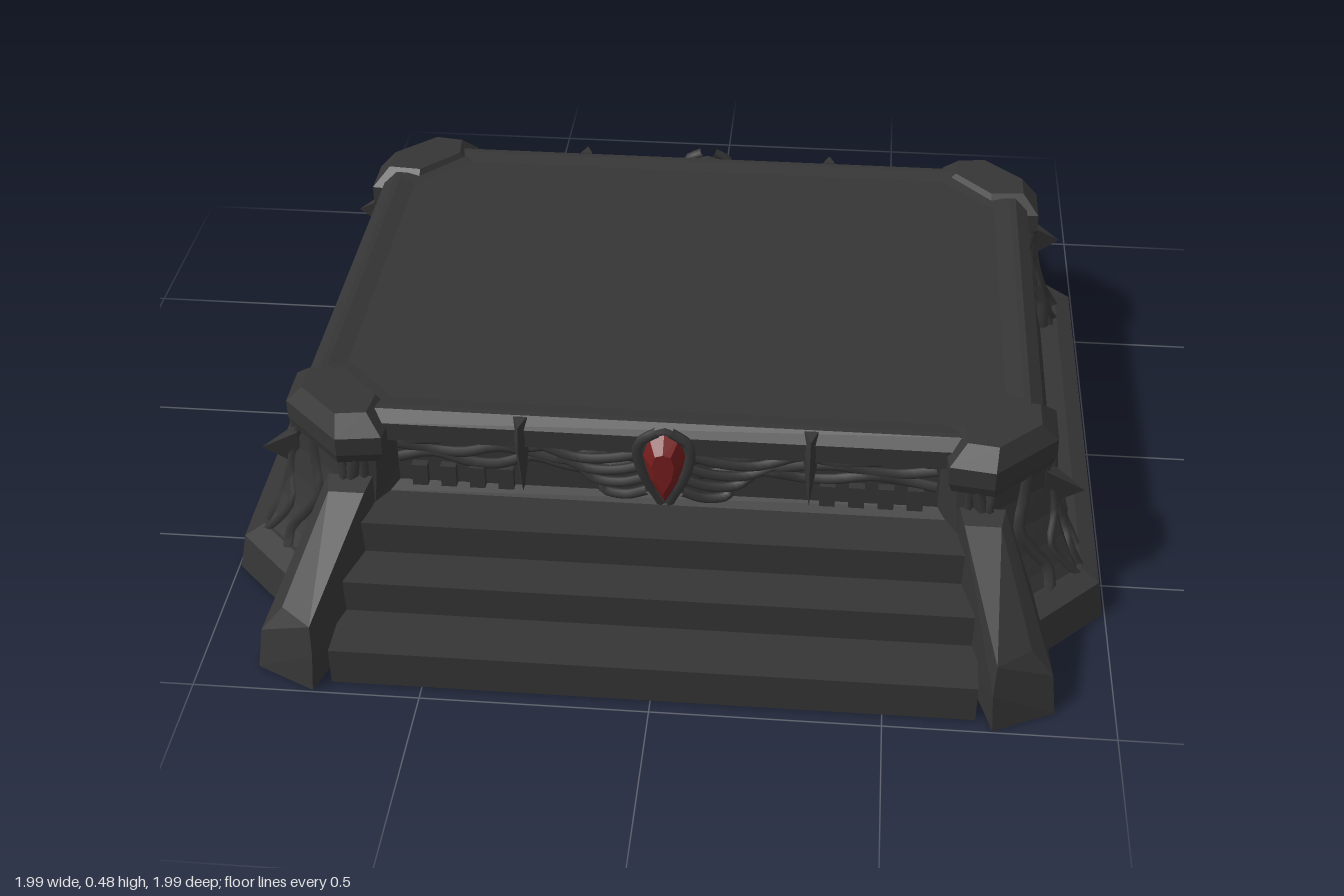
import * as THREE from 'three';
import { ConvexGeometry } from 'three/addons/geometries/ConvexGeometry.js';

const stone = new THREE.MeshStandardMaterial({ color: 0x353535 });
stone.name = 'dark stone';
const red = new THREE.MeshStandardMaterial({ color: 0x741c1c });
red.name = 'red gem';

const V = (x, y, z) => new THREE.Vector3(x, y, z);

function add(parent, name, geometry, material = stone) {
  const mesh = new THREE.Mesh(geometry, material);
  mesh.name = name;
  parent.add(mesh);
  return mesh;
}

// Skin stacked rings {y, pts: [[x, z], ...]} from bottom to top, with flat facets and closed ends
function loft(rings) {
  const pos = [];
  const p = rings[0].pts;
  const area = p.reduce((s, a, i) => {
    const b = p[(i + 1) % p.length];
    return s + a[0] * b[1] - b[0] * a[1];
  }, 0);
  const R = rings.map(r => {
    const list = r.pts.map(([x, z]) => [x, r.y, z]);
    return area < 0 ? list.reverse() : list;
  });
  const n = p.length;
  for (let i = 0; i < R.length - 1; i++) {
    for (let j = 0; j < n; j++) {
      const k = (j + 1) % n;
      const a = R[i][j], b = R[i][k], c = R[i + 1][k], d = R[i + 1][j];
      pos.push(...a, ...d, ...b, ...b, ...d, ...c);
    }
  }
  const bottom = R[0], top = R[R.length - 1];
  for (let j = 1; j < n - 1; j++) {
    pos.push(...top[0], ...top[j + 1], ...top[j]);
    pos.push(...bottom[0], ...bottom[j], ...bottom[j + 1]);
  }
  const g = new THREE.BufferGeometry();
  g.setAttribute('position', new THREE.Float32BufferAttribute(pos, 3));
  g.computeVertexNormals();
  return g;
}

// Rectangle with cut corners
const octagon = (x, z, c) => [
  [x, -z + c], [x, z - c], [x - c, z], [-x + c, z],
  [-x, z - c], [-x, -z + c], [-x + c, -z], [x - c, -z]];
const octStack = rows => loft(rows.map(([y, x, z, c]) => ({ y, pts: octagon(x, z, c) })));

const tube = (pts, r, seg = 12) =>
  new THREE.TubeGeometry(new THREE.CatmullRomCurve3(pts), seg, r, 5, false);

// Concave corner column outlines at the foot and under the cap
const foot = [[0.62, 0.60], [0.68, 0.69], [0.80, 0.70], [0.94, 0.57], [0.94, 0.43], [0.76, 0.40]];
const neck = [[0.60, 0.56], [0.64, 0.63], [0.71, 0.64], [0.85, 0.52], [0.85, 0.42], [0.74, 0.40]];
const capOutline = [[0.61, 0.55], [0.62, 0.65], [0.72, 0.665], [0.86, 0.53], [0.86, 0.42], [0.74, 0.41]];
const heights = [0.08, 0.13, 0.18, 0.24, 0.31, 0.39];

function columnRing(y) {
  const k = Math.pow(1 - (y - 0.08) / 0.31, 2);
  return neck.map(([x, z], i) => [x + (foot[i][0] - x) * k, z + (foot[i][1] - z) * k]);
}

function corner(sx, sz) {
  const g = new THREE.Group();
  g.name = 'corner';
  const flip = pts => pts.map(([x, z]) => [x * sx, z * sz]);
  add(g, 'cornerColumn', loft(heights.map(y => ({ y, pts: flip(columnRing(y)) }))));

  // Bevelled cap
  const inset = f => capOutline.map(([x, z]) => [0.735 + (x - 0.735) * f, 0.54 + (z - 0.54) * f]);
  add(g, 'cornerCap', loft([[0.365, 0.92], [0.39, 1], [0.435, 1], [0.477, 0.68]]
    .map(([y, f]) => ({ y, pts: flip(inset(f)) }))));

  // Carved ribs running up the column
  for (let i = 0; i < 8; i++) {
    const s = 1.3 + i * 0.4, e = Math.floor(s), f = s - e;
    const pts = heights.map((y, n) => {
      const r = columnRing(y);
      const w = f + 0.12 * Math.sin(n * 1.7 + i * 2);
      const x = r[e][0] + (r[e + 1][0] - r[e][0]) * w;
      const z = r[e][1] + (r[e + 1][1] - r[e][1]) * w;
      return V(x * sx, y, z * sz);
    });
    add(g, 'columnRib', tube(pts, 0.011 + 0.004 * (i % 2)));
  }

  // Sloping cheek wall beside the steps
  const cheek = [
    [0.87, 0, 0.93], [0.735, 0, 0.995], [0.86, 0.09, 0.91], [0.73, 0.09, 0.985],
    [0.81, 0.15, 0.90], [0.735, 0.155, 0.965], [0.86, 0, 0.64], [0.65, 0, 0.64],
    [0.66, 0, 0.74], [0.75, 0.32, 0.64], [0.65, 0.32, 0.64], [0.66, 0.31, 0.69], [0.74, 0.31, 0.69],
  ].map(([x, y, z]) => V(x * sx, y, z * sz));
  add(g, 'stairCheek', new ConvexGeometry(cheek));

  // Small thorn beside the cap
  add(g, 'columnThorn', new ConvexGeometry([
    [0.84, 0.36, 0.50], [0.84, 0.36, 0.55], [0.93, 0.30, 0.53], [0.84, 0.24, 0.52],
  ].map(([x, y, z]) => V(x * sx, y, z * sz))));
  return g;
}

// Carved band facing +z: dentils below, twining strands above
function frieze(half, z, gap) {
  const g = new THREE.Group();
  g.name = 'frieze';
  for (let x = gap; x <= half; x += 0.065) {
    for (const s of [-1, 1]) {
      add(g, 'dentil', new THREE.BoxGeometry(0.035, 0.055, 0.03)).position.set(s * x, 0.29, z);
    }
  }
  for (let k = 0; k < 3; k++) {
    const pts = [];
    for (let i = 0; i <= 16; i++) {
      const x = -half + (2 * half * i) / 16;
      pts.push(V(x, 0.335 + k * 0.025 + 0.012 * Math.sin(i * 1.9 + k * 2.1), z + 0.006 * Math.cos(i * 2.3 + k)));
    }
    add(g, 'carvedStrand', tube(pts, 0.013, 48));
  }
  return g;
}

// Steps, frieze, pins and jewel for one stair side, facing +z
function stairSide() {
  const g = new THREE.Group();
  g.name = 'stairSide';
  [[0.70, 0.09, 0.965], [0.69, 0.17, 0.83], [0.67, 0.25, 0.72]].forEach(([hw, h, z]) => {
    add(g, 'step', new THREE.BoxGeometry(hw * 2, h, z - 0.5)).position.set(0, h / 2, (z + 0.5) / 2);
  });
  g.add(frieze(0.60, 0.575, 0.36));

  for (const s of [-1, 1]) {
    // Pin with a pointed foot
    add(g, 'pin', new ConvexGeometry([
      V(s * 0.305, 0.468, 0.59), V(s * 0.335, 0.468, 0.59), V(s * 0.32, 0.465, 0.63),
      V(s * 0.30, 0.42, 0.59), V(s * 0.34, 0.42, 0.59), V(s * 0.32, 0.41, 0.64),
      V(s * 0.32, 0.26, 0.56), V(s * 0.32, 0.27, 0.60)]));
    // Feathered strands sweeping from the jewel
    for (let k = 0; k < 4; k++) {
      add(g, 'sweptFeather', tube([
        V(s * 0.04, 0.40 - k * 0.035, 0.605), V(s * (0.12 - k * 0.01), 0.375 - k * 0.033, 0.60),
        V(s * (0.20 - k * 0.02), 0.365 - k * 0.028, 0.59), V(s * (0.29 - k * 0.05), 0.39 - k * 0.03, 0.58)], 0.012));
    }
    // Curved claw framing the jewel
    add(g, 'jewelClaw', tube([
      V(s * 0.015, 0.467, 0.62), V(s * 0.055, 0.44, 0.625), V(s * 0.052, 0.37, 0.62), V(s * 0.008, 0.26, 0.60)], 0.012));
  }

  const outline = [[0, 0.46], [0.035, 0.45], [0.05, 0.40], [0.035, 0.33], [0, 0.265],
    [-0.035, 0.33], [-0.05, 0.40], [-0.035, 0.45]];
  const jewel = outline.map(([x, y]) => V(x, y, 0.61));
  jewel.push(...outline.map(([x, y]) => V(x * 0.5, 0.385 + (y - 0.385) * 0.55, 0.65)));
  add(g, 'jewel', new ConvexGeometry(jewel), red);
  add(g, 'jewelMount', new ConvexGeometry(
    outline.flatMap(([x, y]) => [V(x * 1.35, y, 0.55), V(x * 1.1, y, 0.615)])));
  return g;
}

export function createModel() {
  const model = new THREE.Group();
  model.name = 'pedestal';

  // Plinth with bevelled edge
  add(model, 'plinth', octStack([
    [0, 0.995, 0.74, 0.14], [0.085, 0.98, 0.73, 0.14], [0.10, 0.94, 0.70, 0.14]]));
  // Battered wall and recessed frieze ground
  add(model, 'wall', octStack([
    [0.08, 0.90, 0.64, 0.14], [0.25, 0.85, 0.60, 0.14], [0.262, 0.80, 0.57, 0.14], [0.40, 0.80, 0.57, 0.14]]));
  // Projecting rail and platform floor
  add(model, 'rail', octStack([
    [0.375, 0.80, 0.575, 0.14], [0.40, 0.83, 0.61, 0.15], [0.445, 0.83, 0.61, 0.15],
    [0.468, 0.80, 0.585, 0.14], [0.468, 0.785, 0.57, 0.14], [0.460, 0.745, 0.53, 0.13]]));

  for (const sx of [-1, 1]) {
    for (const sz of [-1, 1]) model.add(corner(sx, sz));
    const side = frieze(0.39, 0.805, 0.0325);
    side.rotation.y = sx * Math.PI / 2;
    model.add(side);
  }

  const front = stairSide();
  const back = stairSide();
  back.rotation.y = Math.PI;
  model.add(front, back);
  return model;
}
